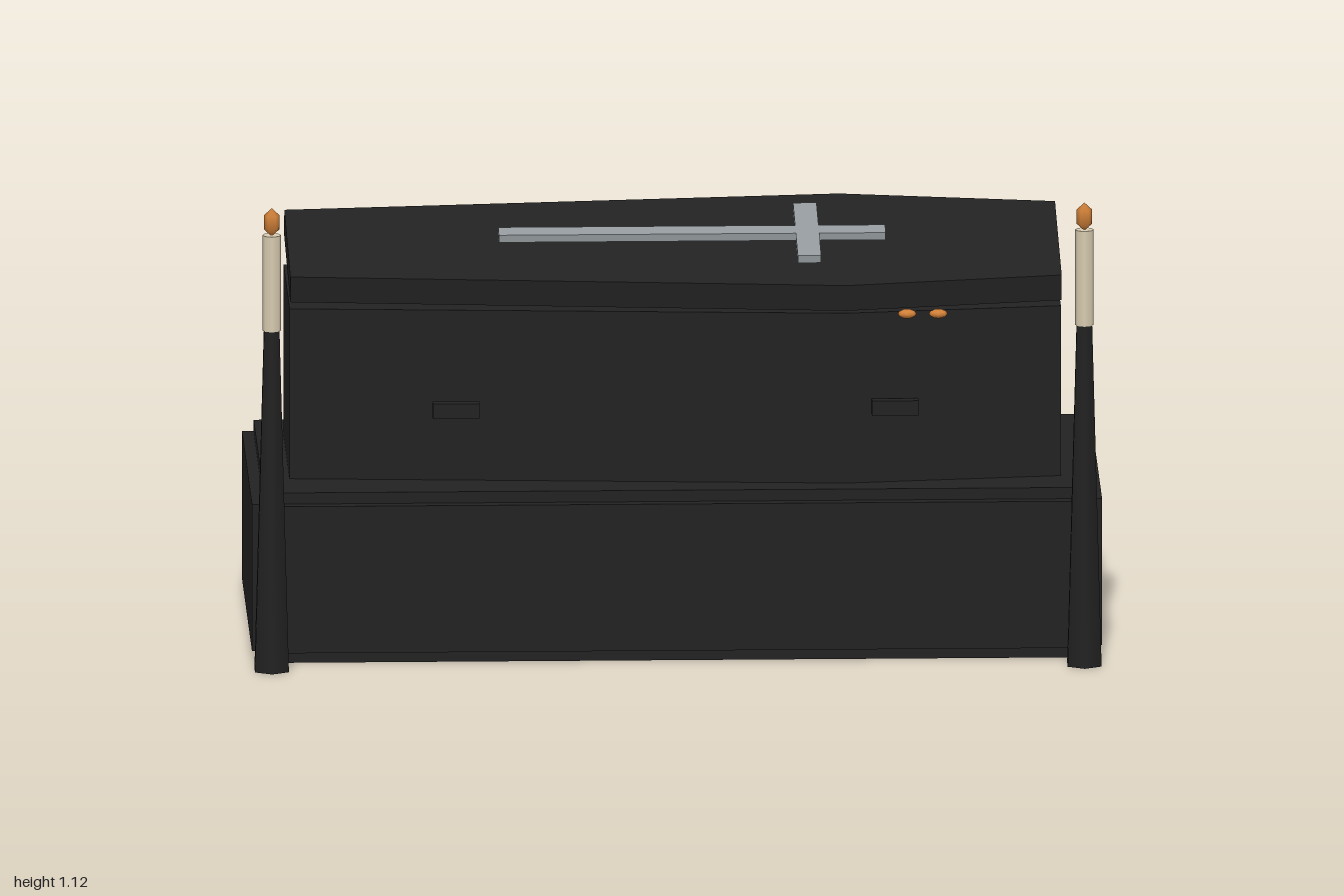
import * as THREE from 'three';

const mat = (name, color) => {
  const m = new THREE.MeshStandardMaterial({ color });
  m.name = name;
  return m;
};

export function createModel() {
  const black = mat('black', 0x222222);
  const metal = mat('greyMetal', 0x959b9e);
  const wax = mat('wax', 0xd8cbb0);
  const orange = mat('orange', 0xd08038);

  const model = new THREE.Group();
  model.name = 'coffinOnPlinth';

  const add = (parent, name, geometry, material, x = 0, y = 0, z = 0) => {
    const mesh = new THREE.Mesh(geometry, material);
    mesh.name = name;
    mesh.position.set(x, y, z);
    parent.add(mesh);
    return mesh;
  };
  const box = (parent, name, material, size, pos) =>
    add(parent, name, new THREE.BoxGeometry(...size), material, ...pos);

  // Six-sided coffin outline, widest at the shoulders, extruded upwards
  const coffinPrism = (height) => {
    const half = [[-0.907, 0.232], [0.4, 0.318], [0.907, 0.255]];
    const outline = [
      ...half.map(([x, w]) => new THREE.Vector2(x, -w)),
      ...half.slice().reverse().map(([x, w]) => new THREE.Vector2(x, w)),
    ];
    return new THREE.ExtrudeGeometry(new THREE.Shape(outline), { depth: height, bevelEnabled: false })
      .rotateX(-Math.PI / 2);
  };

  // Plinth: a core with raised panels on its sides and ends
  const plinth = new THREE.Group();
  plinth.name = 'plinth';
  model.add(plinth);
  const pz = -0.046;
  box(plinth, 'plinthCore', black, [1.945, 0.41, 0.764], [0, 0.205, pz]);
  box(plinth, 'plinthEndPanels', black, [2, 0.354, 0.764], [0, 0.206, pz]);
  box(plinth, 'plinthSidePanels', black, [1.945, 0.354, 0.818], [0, 0.206, pz]);

  // Coffin body
  const cz = -0.044;
  add(model, 'coffinBody', coffinPrism(0.41), black, 0, 0.41, cz);

  // Handles on both long sides
  for (const x of [-0.518, 0.515])
    for (const side of [-1, 1])
      box(model, 'handle', black, [0.11, 0.036, 0.026], [x, 0.594, cz + side * 0.324]);

  // Lid, tilted open at the back, with a cross held just above it
  const lid = new THREE.Group();
  lid.name = 'lid';
  lid.position.set(0, 0.907, 0.013);
  lid.rotation.x = 0.12;
  model.add(lid);
  add(lid, 'lidPanel', coffinPrism(0.063), black, 0, -0.0315, 0);
  box(lid, 'crossLongBar', metal, [0.91, 0.018, 0.055], [0.045, 0.048, -0.003]);
  for (const side of [-1, 1])
    box(lid, 'crossArm', metal, [0.055, 0.018, 0.155], [0.316, 0.048, -0.003 + side * 0.105]);

  // Eyes peering out below the lid
  for (const x of [0.543, 0.616])
    add(model, 'eye', new THREE.SphereGeometry(1, 8, 6).scale(0.022, 0.011, 0.018), orange, x, 0.82, 0.284);

  // Candles on tall tapered stands
  for (const side of [-1, 1]) {
    const candle = new THREE.Group();
    candle.name = side > 0 ? 'leftCandle' : 'rightCandle';
    candle.position.set(side * 0.956, 0, 0.411);
    model.add(candle);
    add(candle, 'candleStand', new THREE.CylinderGeometry(0.021, 0.046, 0.82, 6), black, 0, 0.41, 0);
    add(candle, 'candleWax', new THREE.CylinderGeometry(0.022, 0.022, 0.23, 8), wax, 0, 0.935, 0);
    add(candle, 'flame', new THREE.SphereGeometry(1, 6, 3).scale(0.021, 0.034, 0.021), orange, 0, 1.081, 0);
  }

  return model;
}
